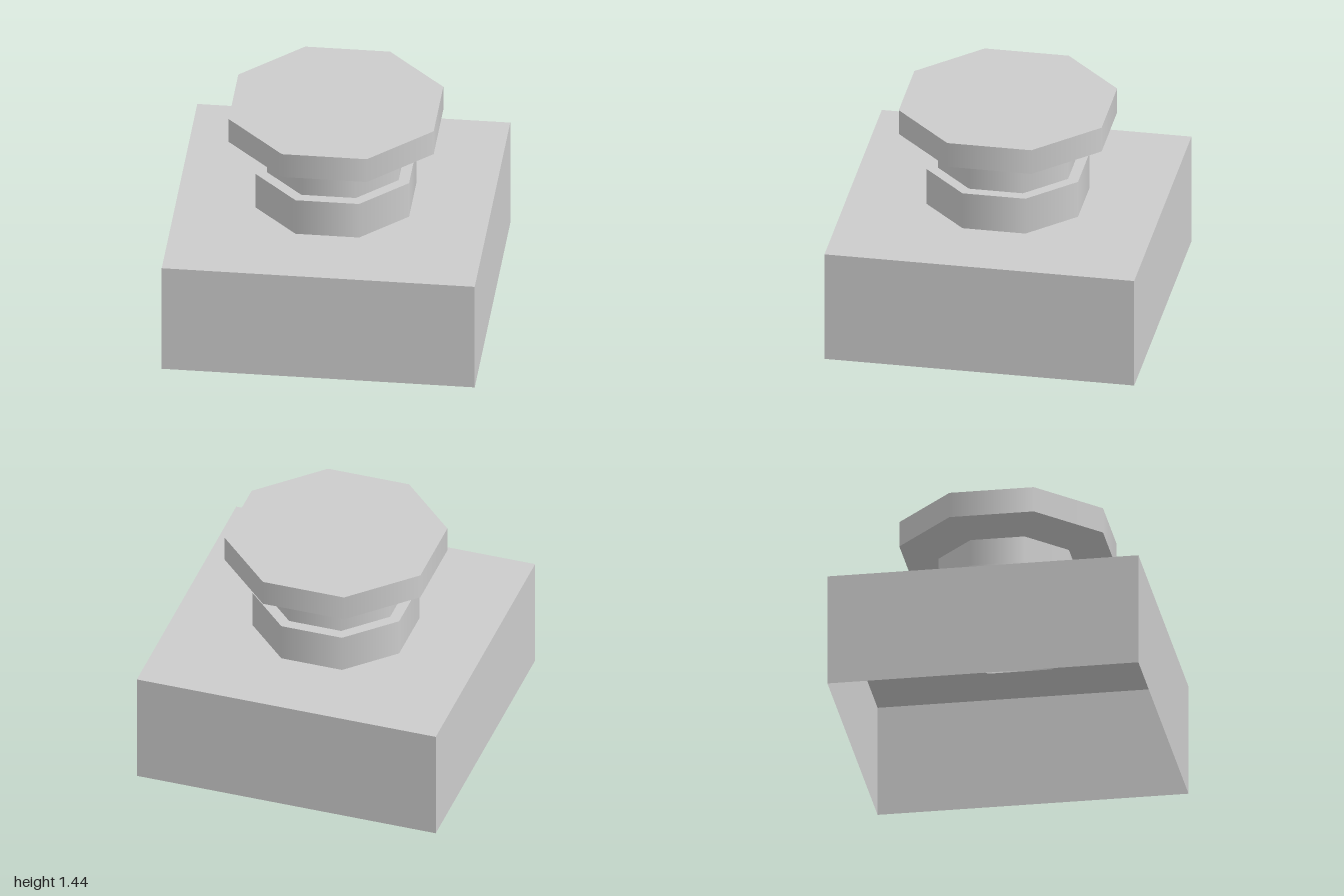
import * as THREE from 'three';

const SIDES = 8;
const TURN = Math.PI / SIDES; // puts the flats on the x and z axes
const material = new THREE.MeshStandardMaterial({ color: 0xcccccc, side: THREE.DoubleSide });

// Corner radius of an octagon from its half width across flats
const corner = (halfWidth) => halfWidth / Math.cos(TURN);

function addMesh(group, name, geometry) {
  const mesh = new THREE.Mesh(geometry, material);
  mesh.name = name;
  group.add(mesh);
}

// Open octagonal wall from y0 to y1
function band(w0, w1, y0, y1) {
  return new THREE.CylinderGeometry(corner(w1), corner(w0), y1 - y0, SIDES, 1, true)
    .rotateY(TURN)
    .translate(0, (y0 + y1) / 2, 0);
}

// Flat octagonal ring facing up
function ring(inner, outer, y) {
  return new THREE.RingGeometry(corner(inner), corner(outer), SIDES, 1, TURN)
    .rotateX(-Math.PI / 2)
    .translate(0, y, 0);
}

export function createModel() {
  const model = new THREE.Group();
  model.name = 'pushButton';

  // Hollow base, open underneath: drop the bottom face of the box
  const base = new THREE.BoxGeometry(2, 0.75, 2).translate(0, 0.375, 0);
  const index = Array.from(base.index.array);
  index.splice(18, 6);
  base.setIndex(index);
  base.clearGroups();
  addMesh(model, 'base', base);

  // Collar reaches slightly through the base top
  addMesh(model, 'collarWall', band(0.49, 0.49, 0.695, 1.0));
  addMesh(model, 'collarRim', ring(0.42, 0.49, 1.0));

  // Neck
  addMesh(model, 'neck', band(0.42, 0.42, 1.0, 1.21));

  // Head: flared underside, upright edge and flat top
  addMesh(model, 'headFlare', band(0.42, 0.655, 1.21, 1.27));
  addMesh(model, 'headEdge', band(0.655, 0.655, 1.27, 1.44));
  addMesh(model, 'headTop', new THREE.CircleGeometry(corner(0.655), SIDES, TURN)
    .rotateX(-Math.PI / 2)
    .translate(0, 1.44, 0));

  return model;
}
